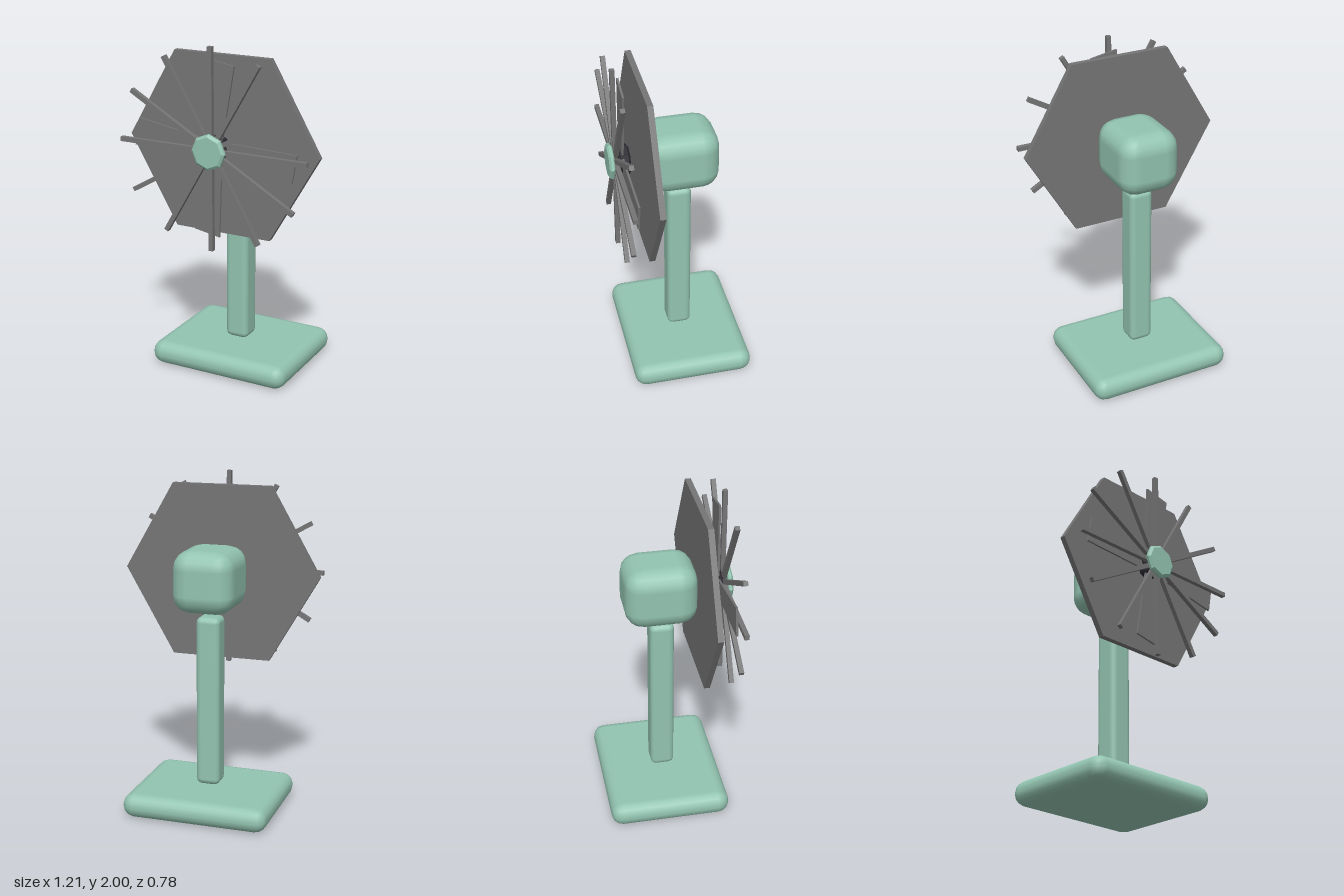
import * as THREE from 'three';
import { RoundedBoxGeometry } from 'three/addons/geometries/RoundedBoxGeometry.js';

const AXIS_Y = 1.41; // height of the fan axis

export function createModel() {
  const fan = new THREE.Group();
  fan.name = 'deskFan';

  const material = (name, color) => {
    const m = new THREE.MeshStandardMaterial({ color });
    m.name = name;
    return m;
  };
  const green = material('mint green', 0x93c4b1);
  const grey = material('grey', 0x757576);
  const dark = material('dark charcoal', 0x2b2930);
  green.flatShading = false;

  const add = (name, geometry, mat, x, y, z, parent = fan) => {
    const mesh = new THREE.Mesh(geometry, mat);
    mesh.name = name;
    mesh.position.set(x, y, z);
    parent.add(mesh);
    return mesh;
  };

  // Faceted solid around the z axis from [radius, z] pairs, back to front
  const facetedDisc = (profile, sides) => {
    const points = profile.map(([r, z]) => new THREE.Vector2(r, z));
    const g = new THREE.LatheGeometry(points, sides).rotateX(Math.PI / 2).toNonIndexed();
    g.computeVertexNormals();
    return g;
  };

  // Stand and motor housing
  add('base', new RoundedBoxGeometry(0.885, 0.145, 0.725, 2, 0.07), green, 0, 0.0725, -0.03);
  add('stem', new RoundedBoxGeometry(0.145, 1.035, 0.145, 2, 0.035), green, 0, 0.67, -0.018);
  add('motorHousing', new RoundedBoxGeometry(0.37, 0.37, 0.425, 2, 0.11), green, 0, AXIS_Y, -0.03);

  const head = new THREE.Group();
  head.name = 'fanHead';
  head.position.y = AXIS_Y;
  fan.add(head);

  // Six-sided back plate with corners on the left and right
  const plate = facetedDisc([[0, 0.182], [0.605, 0.182], [0.605, 0.216], [0, 0.216]], 6);
  add('backPlate', plate.rotateZ(Math.PI / 6), grey, 0, 0, 0, head);

  // Four skewed, tapering blades
  const bladeShape = new THREE.Shape([
    [0.02, -0.05], [0.485, -0.13], [0.515, 0.035], [0.02, 0.052],
  ].map(([x, y]) => new THREE.Vector2(x, y)));
  const bladeGeometry = new THREE.ExtrudeGeometry(bladeShape, { depth: 0.012, bevelEnabled: false });
  for (let i = 0; i < 4; i++) {
    add('blade', bladeGeometry, grey, 0, 0, 0.304, head).rotation.z = (i * Math.PI) / 2;
  }

  // Blade hub
  const hub = facetedDisc(
    [[0, 0.266], [0.078, 0.266], [0.092, 0.278], [0.092, 0.322], [0.082, 0.334], [0, 0.334]], 8);
  add('bladeHub', hub, dark, 0, 0, 0, head);

  // Front guard: six bars crossing at the centre make twelve spokes
  const bar = new THREE.BoxGeometry(1.18, 0.027, 0.027);
  for (let i = 0; i < 6; i++) {
    add('guardBar', bar, grey, 0, 0, 0.345, head).rotation.z = (i * Math.PI) / 6;
  }

  // Front cap
  const cap = facetedDisc(
    [[0, 0.36], [0.098, 0.36], [0.105, 0.366], [0.105, 0.38], [0.09, 0.391], [0, 0.391]], 8);
  add('frontCap', cap, green, 0, 0, 0, head);

  return fan;
}
